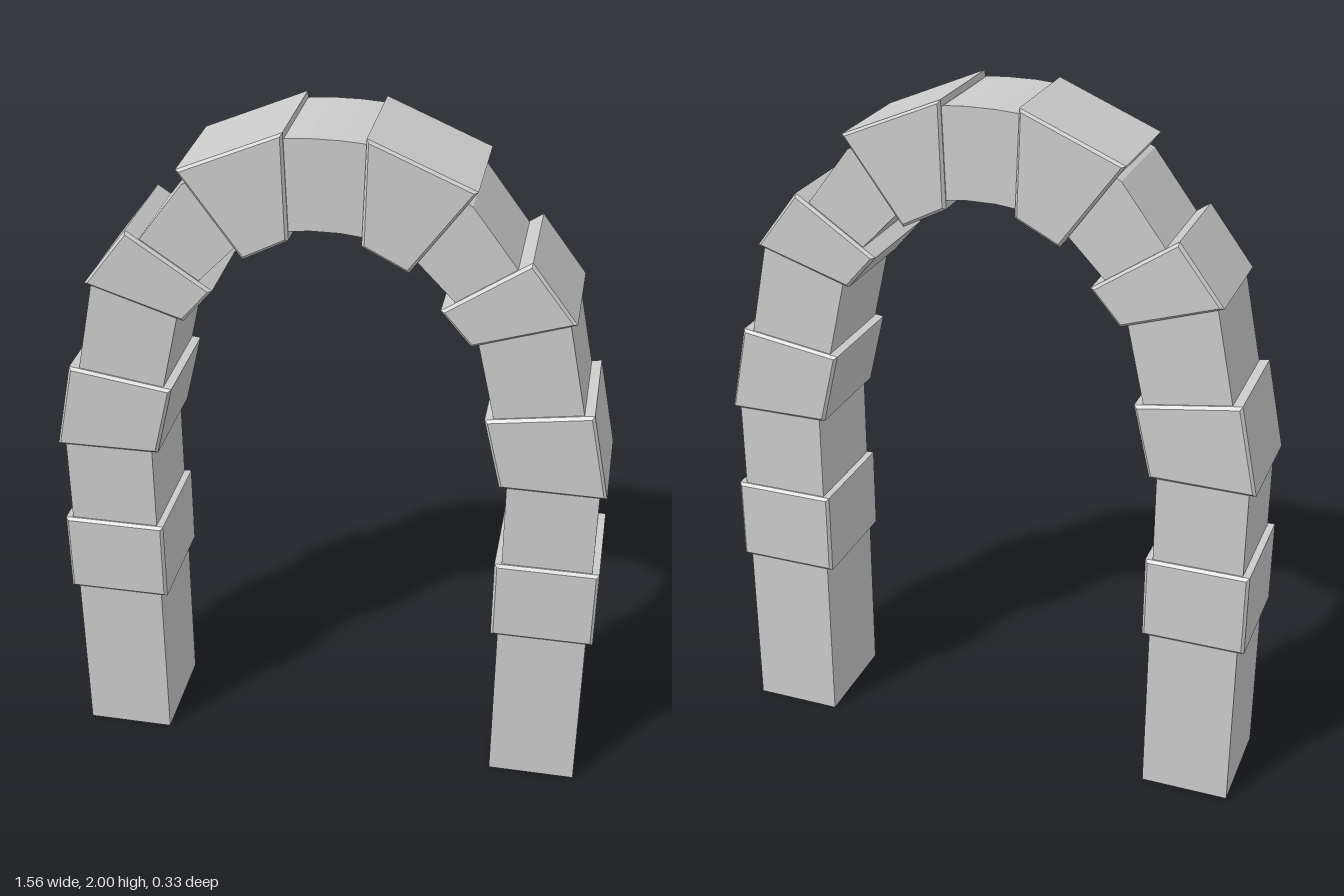
import * as THREE from 'three';

const BEVEL = 0.008;

// Extrude an outline in the xy plane to a slab centred on z = 0
function slab(name, points, depth, bevel, material) {
  const shape = new THREE.Shape(points.map(([x, y]) => new THREE.Vector2(x, y)));
  const geometry = new THREE.ExtrudeGeometry(shape, {
    depth: depth - 2 * bevel,
    bevelEnabled: bevel > 0,
    bevelThickness: bevel,
    bevelSize: bevel,
    bevelOffset: -bevel,
    bevelSegments: 1,
  });
  geometry.translate(0, 0, -depth / 2 + bevel);
  const mesh = new THREE.Mesh(geometry, material);
  mesh.name = name;
  return mesh;
}

const mirror = (points) => points.map(([x, y]) => [-x, y]);

export function createModel() {
  const group = new THREE.Group();
  group.name = 'stoneArch';
  const stone = new THREE.MeshStandardMaterial({ color: 0xcccccc, flatShading: true });

  // Recessed core: legs and arch ring, from the foot to the crown
  const outer = [[0.76, 0], [0.76, 1.03], [0.7, 1.265], [0.645, 1.53], [0.5, 1.676],
    [0.378, 1.838], [0.1, 1.984], [0.04, 1.988]];
  const inner = [[0.505, 0], [0.505, 1.03], [0.458, 1.235], [0.408, 1.455], [0.341, 1.57],
    [0.225, 1.69], [0.094, 1.731], [0.04, 1.737]];
  const outline = [
    ...outer, ...mirror(outer).reverse(),
    ...mirror(inner), ...[...inner].reverse(),
  ];
  group.add(slab('archCore', outline, 0.308, 0, stone));

  // Protruding chamfered stones, repeated on both sides
  const blocks = {
    LegBlock: [[0.485, 0.515], [0.78, 0.515], [0.78, 0.762], [0.485, 0.762]],
    SpringerBlock: [[0.485, 1.018], [0.78, 1.016], [0.727, 1.272], [0.435, 1.228]],
    HaunchBlock: [[0.39, 1.446], [0.662, 1.535], [0.537, 1.7], [0.306, 1.543]],
    CrownBlock: [[0.22, 1.643], [0.391, 1.88], [0.107, 2.0], [0.096, 1.707]],
  };
  for (const [name, points] of Object.entries(blocks)) {
    group.add(slab('left' + name, points, 0.332, BEVEL, stone));
    group.add(slab('right' + name, mirror(points), 0.332, BEVEL, stone));
  }
  return group;
}
